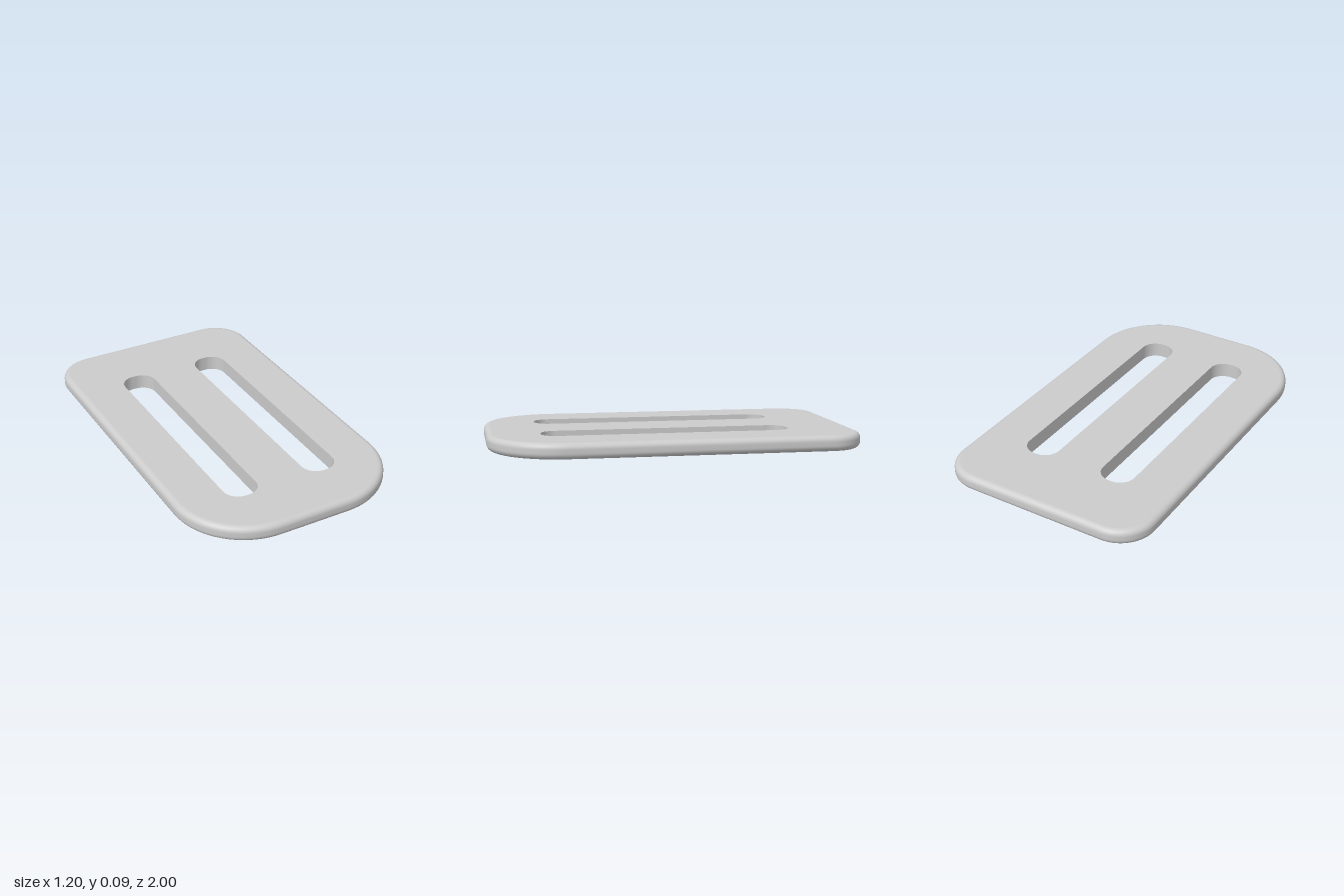
import * as THREE from 'three';

const HEIGHT = 0.085, BEVEL = 0.032, ARC_STEPS = 16, BEVEL_STEPS = 6;

// Counter-clockwise rounded rectangle; every inset has the same point count.
// Shape y becomes -z, so the low-y corners are the front ones.
function roundedRect(x0, x1, y0, y1, rLow, rHigh, inset = 0) {
  const corners = [[x1, y0, rLow, -1, 1], [x1, y1, rHigh, -1, -1], [x0, y1, rHigh, 1, -1], [x0, y0, rLow, 1, 1]];
  const points = [];
  corners.forEach(([x, y, r, sx, sy], k) => {
    for (let i = 0; i <= ARC_STEPS; i++) {
      const a = (k - 1 + i / ARC_STEPS) * Math.PI / 2;
      points.push(new THREE.Vector2(
        x + sx * r + (r - inset) * Math.cos(a),
        y + sy * r + (r - inset) * Math.sin(a)));
    }
  });
  return points;
}

// Smooth closed wall through stacked rings of points, bottom to top
function wall(rings) {
  const n = rings[0].points.length, position = [], index = [];
  rings.forEach(({ points, h }) => points.forEach(p => position.push(p.x, p.y, h)));
  for (let j = 0; j < rings.length - 1; j++) {
    for (let i = 0; i < n; i++) {
      const a = j * n + i, b = j * n + (i + 1) % n;
      index.push(a, b, b + n, a, b + n, a + n);
    }
  }
  const geometry = new THREE.BufferGeometry();
  geometry.setAttribute('position', new THREE.Float32BufferAttribute(position, 3));
  geometry.setIndex(index);
  geometry.computeVertexNormals();
  return geometry;
}

export function createModel() {
  const group = new THREE.Group();
  group.name = 'stripAdjuster';
  const material = new THREE.MeshStandardMaterial({ color: 0xcccccc });
  const add = (name, geometry) => {
    geometry.rotateX(-Math.PI / 2);
    const mesh = new THREE.Mesh(geometry, material);
    mesh.name = name;
    group.add(mesh);
  };

  const outline = inset => roundedRect(-0.6, 0.6, -1, 1, 0.4, 0.2, inset);
  const slots = [[-0.33, -0.14], [0.14, 0.33]].map(([a, b]) => roundedRect(a, b, -0.715, 0.643, 0.085, 0.085));

  // Rounded outer rim: quarter round, straight side, quarter round
  const rings = [];
  for (const top of [0, 1]) {
    for (let i = 0; i <= BEVEL_STEPS; i++) {
      const a = (i / BEVEL_STEPS + top - 1) * Math.PI / 2;
      const centre = top ? HEIGHT - BEVEL : BEVEL;
      rings.push({ points: outline(BEVEL * (1 - Math.cos(a))), h: centre + BEVEL * Math.sin(a) });
    }
  }
  add('outerRim', wall(rings));

  // Flat faces with both slots cut out
  const shape = new THREE.Shape(outline(BEVEL));
  shape.holes = slots.map(points => new THREE.Path(points));
  add('topFace', new THREE.ShapeGeometry(shape).translate(0, 0, HEIGHT));
  const bottom = new THREE.ShapeGeometry(shape);
  bottom.index.array.reverse();
  bottom.computeVertexNormals();
  add('bottomFace', bottom);

  // Sharp-edged slot walls, facing into the openings
  slots.forEach((points, k) => {
    const inner = [...points].reverse();
    add(k ? 'leftSlotWall' : 'rightSlotWall', wall([{ points: inner, h: 0 }, { points: inner, h: HEIGHT }]));
  });
  return group;
}
